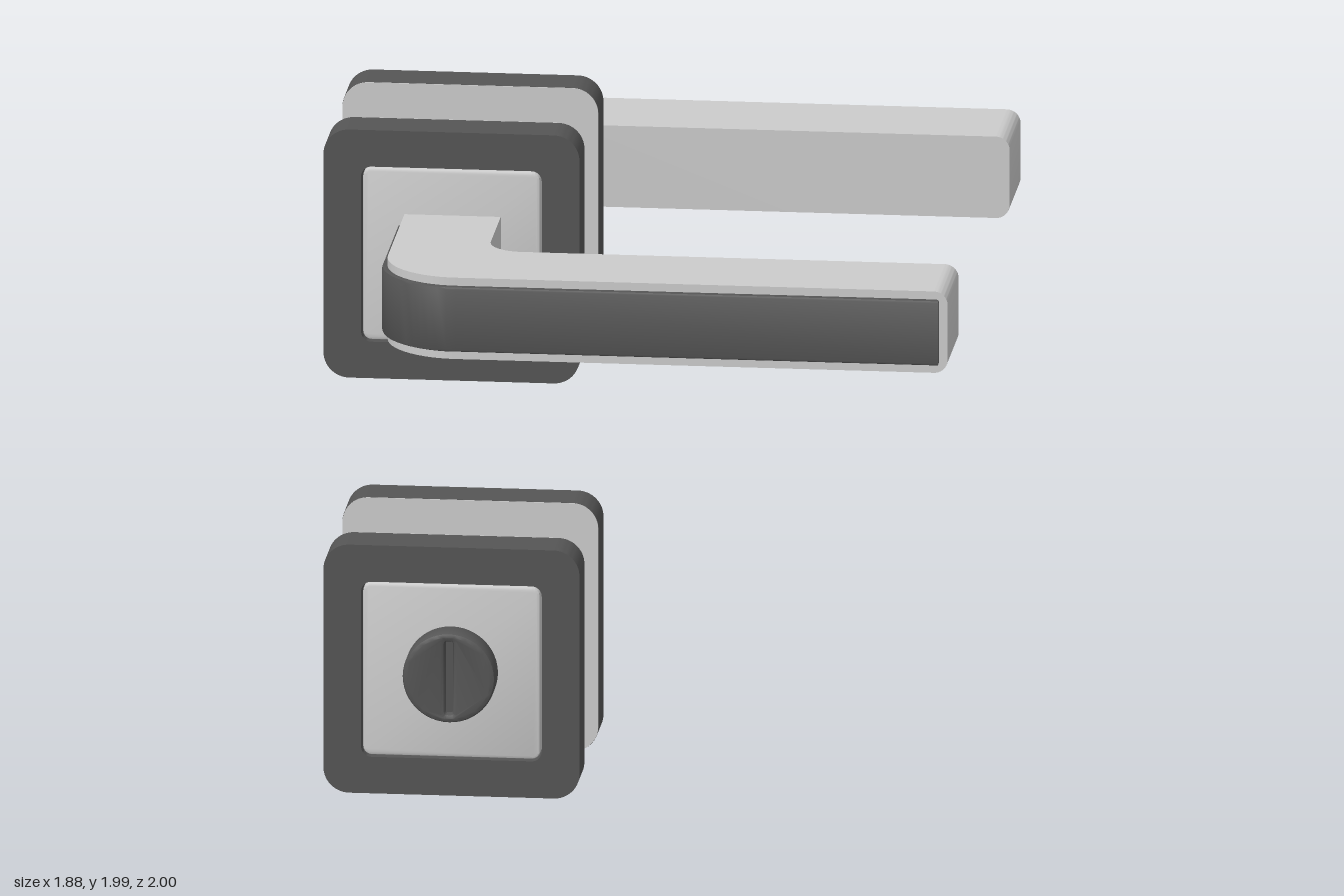
import * as THREE from 'three';
import { toCreasedNormals } from 'three/addons/utils/BufferGeometryUtils.js';

const light = new THREE.MeshStandardMaterial({ color: 0xcccccc });
const dark = new THREE.MeshStandardMaterial({ color: 0x555555 });
const CX = -0.573; // x of the plate centres

function add(group, name, geometry, material) {
  const mesh = new THREE.Mesh(toCreasedNormals(geometry, 0.6), material);
  mesh.name = name;
  group.add(mesh);
}

// Rounded rectangle centred on (cx, cy)
function roundRect(w, h, r, cx = 0, cy = 0, Type = THREE.Shape) {
  const x = w / 2, y = h / 2, s = new Type();
  s.absarc(cx + x - r, cy + y - r, r, 0, Math.PI / 2);
  s.absarc(cx - x + r, cy + y - r, r, Math.PI / 2, Math.PI);
  s.absarc(cx - x + r, cy - y + r, r, Math.PI, Math.PI * 1.5);
  s.absarc(cx + x - r, cy - y + r, r, Math.PI * 1.5, Math.PI * 2);
  s.closePath();
  return s;
}

// Extrude from z0 to z1, with an optional bevel inside that span
function slab(shape, z0, z1, bevel = 0, curveSegments = 8) {
  return new THREE.ExtrudeGeometry(shape, {
    depth: z1 - z0 - 2 * bevel, curveSegments, bevelEnabled: bevel > 0,
    bevelThickness: bevel, bevelSize: bevel, bevelOffset: -bevel, bevelSegments: 2,
  }).translate(0, 0, z0 + bevel);
}

// Plan outline (x, z) extruded vertically and centred on y = 0
function planSlab(shape, height, bevel = 0) {
  return slab(shape, -height / 2, height / 2, bevel, 7).rotateX(Math.PI / 2);
}

// Square plate: dark frame, recessed light insert, light back
function addPlate(group) {
  const frame = roundRect(0.744, 0.744, 0.075, CX);
  frame.holes.push(roundRect(0.525, 0.525, 0.03, CX, 0, THREE.Path));
  add(group, 'plateFrame', slab(frame, 0.19, 0.325), dark);
  add(group, 'plateBack', slab(roundRect(0.743, 0.743, 0.075, CX), 0.187, 0.191), light);
  add(group, 'plateInsert', slab(roundRect(0.515, 0.515, 0.025, CX), 0.19, 0.322, 0.008), light);
}

// L-shaped lever with a dark strip wrapped round its outer face
function addLever(group) {
  const body = new THREE.Shape();
  body.moveTo(-0.71, 0.3);
  body.lineTo(-0.43, 0.3);
  body.lineTo(-0.43, 0.59);
  body.absarc(-0.33, 0.59, 0.1, Math.PI, Math.PI / 2, true);
  body.lineTo(0.9, 0.69);
  body.lineTo(0.9, 0.986);
  body.lineTo(-0.49, 0.986);
  body.absarc(-0.49, 0.766, 0.22, Math.PI / 2, Math.PI);
  body.closePath();
  add(group, 'leverBody', planSlab(body, 0.244), light);

  // rounded free end
  const end = new THREE.Shape();
  end.moveTo(0.9, -0.122);
  end.absarc(0.9, -0.082, 0.04, -Math.PI / 2, 0);
  end.absarc(0.9, 0.082, 0.04, 0, Math.PI / 2);
  end.closePath();
  add(group, 'leverEnd', slab(end, 0.69, 0.986), light);

  const strip = new THREE.Shape();
  strip.moveTo(-0.726, 0.35);
  strip.lineTo(-0.69, 0.35);
  strip.lineTo(-0.69, 0.766);
  strip.absarc(-0.49, 0.766, 0.2, Math.PI, Math.PI / 2, true);
  strip.lineTo(0.915, 0.966);
  strip.lineTo(0.915, 1);
  strip.lineTo(-0.49, 1);
  strip.absarc(-0.49, 0.766, 0.236, Math.PI / 2, Math.PI);
  strip.closePath();
  add(group, 'leverStrip', planSlab(strip, 0.196, 0.008), dark);
}

// Slotted emergency-release disc
function addRelease(group) {
  const disc = new THREE.Shape().absarc(CX, 0, 0.135, 0, Math.PI * 2);
  disc.holes.push(roundRect(0.022, 0.215, 0.005, CX, 0, THREE.Path));
  add(group, 'releaseDisc', slab(disc, 0.31, 0.4, 0.013, 24), dark);
  const floor = new THREE.CylinderGeometry(0.12, 0.12, 0.06, 32).rotateX(Math.PI / 2);
  add(group, 'slotFloor', floor.translate(CX, 0, 0.345), dark);
}

// Thumb turn: a cylinder pinched by two hollow side cuts into a blade
function addThumbTurn(group) {
  const R = 0.183, z0 = 0.31, z1 = 0.7, profile = [];
  for (let i = 0; i <= 20; i++) profile.push(new THREE.Vector2(R, z0 + (z1 - z0) * i / 20));
  for (const s of [0.97, 0.75, 0.5, 0.25, 0]) profile.push(new THREE.Vector2(R * s, z1 + 0.004));
  const geo = new THREE.LatheGeometry(profile, 64).rotateX(Math.PI / 2);
  const p = geo.attributes.position;
  for (let i = 0; i < p.count; i++) {
    const x = p.getX(i), y = p.getY(i), z = p.getZ(i);
    const s = Math.max(Math.hypot(x, y) / R, 1e-6);
    const t = THREE.MathUtils.clamp((z - 0.39) / 0.31, 0, 1);
    const w = (0.07 + 0.113 * (1 - t) ** 2.2) * s;
    const bulge = 0.041 * (1 - (y / R) ** 2) * t * t;
    p.setXYZ(i, THREE.MathUtils.clamp(x, -w, w), y, z + bulge);
  }
  add(group, 'thumbTurnKnob', geo.translate(CX, 0, 0), dark);
}

export function createModel() {
  const model = new THREE.Group();
  model.name = 'doorHandleSet';
  const sets = [
    ['frontLever', 1.617, false, addLever],
    ['backLever', 1.617, true, addLever],
    ['frontRelease', 0.372, false, addRelease],
    ['backThumbTurn', 0.372, true, addThumbTurn],
  ];
  for (const [name, y, back, addFitting] of sets) {
    const group = new THREE.Group();
    group.name = name;
    addPlate(group);
    addFitting(group);
    group.position.y = y;
    // parts are symmetric in y, so a half turn about x makes the back side
    if (back) group.rotation.x = Math.PI;
    model.add(group);
  }
  return model;
}
